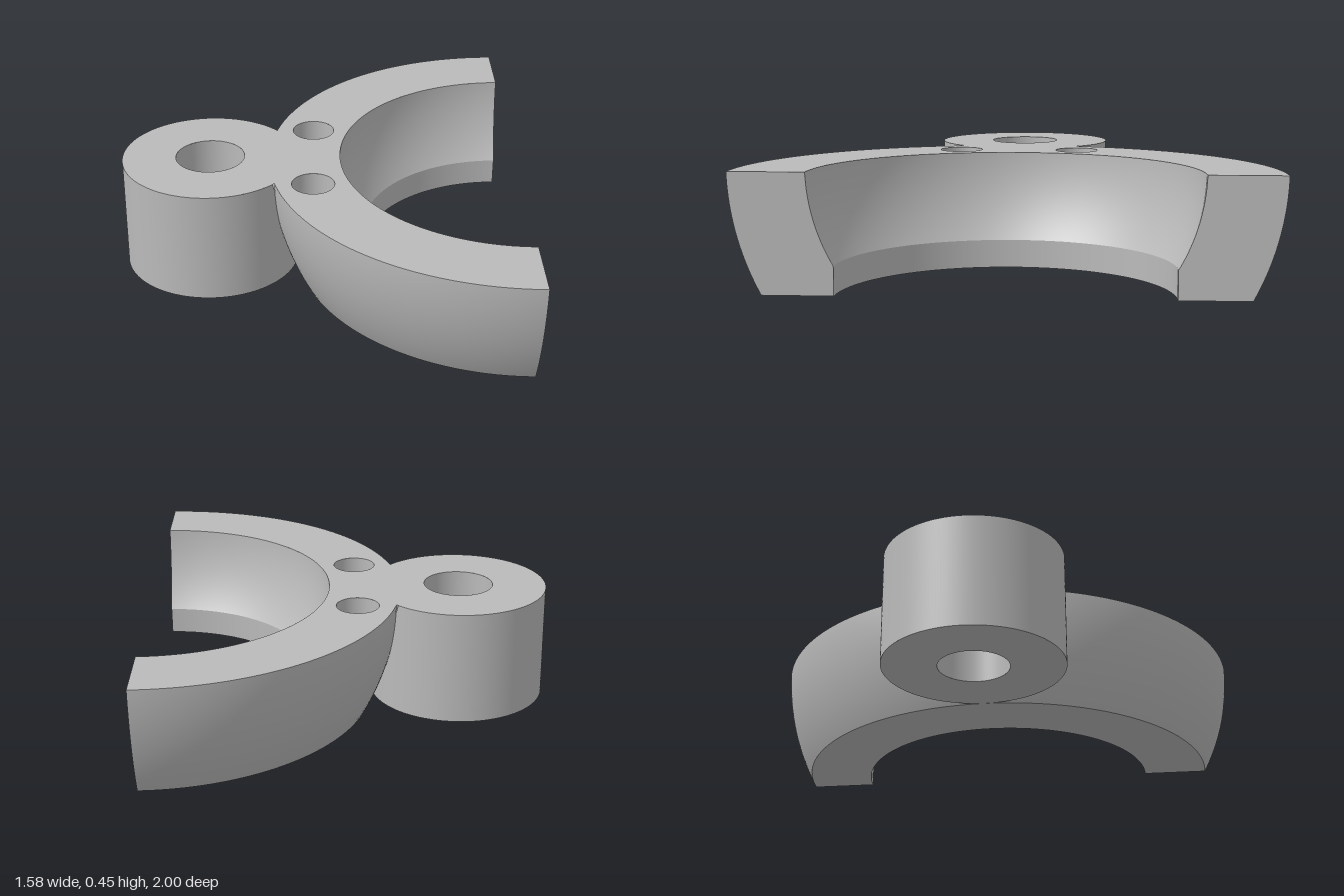
import * as THREE from 'three';
import { ParametricGeometry } from 'three/addons/geometries/ParametricGeometry.js';

const TOP = 0.45, CUT = 0.788;                 // height, x of the flat cut
const CX = 0.8, SY = 0.47;                     // centre of the spherical ring
const OUT2 = 1.0004, IN2 = 0.5114;             // squared sphere radii
const LIP = 0.11, BORE = 0.618;                // straight lip inside the ring
const HX = -0.436, HR = 0.352, HOLE = 0.138;   // hub
const PX = -0.022, PZ = 0.235, PR = 0.084, PIN_FLOOR = 0.25; // pin holes

const { PI, sqrt, acos, sin, cos, min, max } = Math;
const lerp = THREE.MathUtils.lerp;
const sphereR = (r2, y) => sqrt(r2 - (y - SY) ** 2);
const cutAngle = r => acos((CX - CUT) / r);
// angle at which a ring circle of radius r meets the hub
const D = CX - HX;
const hubAngle = r => acos(min(1, (D * D + r * r - HR * HR) / (2 * D * r)));

export function createModel() {
  const model = new THREE.Group();
  const grey = new THREE.MeshStandardMaterial({ color: 0xbababa, side: THREE.DoubleSide });
  const add = (name, geometry) => {
    const mesh = new THREE.Mesh(geometry, grey);
    mesh.name = name;
    model.add(mesh);
    return mesh;
  };

  // Ring wall between heights y0 and y1, swept between two angles that depend on radius
  const ringWall = (radius, y0, y1, from, to, nu, nv) =>
    new ParametricGeometry((u, v, p) => {
      const y = lerp(y0, y1, v), r = radius(y), a = lerp(from(r), to(r), u);
      p.set(CX - r * cos(a), y, r * sin(a));
    }, nu, nv);

  // Upright round wall; dir 1 faces outward, -1 faces inward
  const roundWall = (x, z, r, y0, topAt, dir, nu) =>
    new ParametricGeometry((u, v, p) => {
      const a = u * 2 * PI, px = x + r * cos(a), pz = z - dir * r * sin(a);
      p.set(px, lerp(y0, topAt(px, pz), v), pz);
    }, nu, 1);

  const circleHole = (x, y, r) => new THREE.Path().absarc(x, y, r, 0, 2 * PI, true);
  const flat = (shape, y, up) => new THREE.ShapeGeometry(shape, 72)
    .rotateX(up ? -PI / 2 : PI / 2).translate(0, y, 0);

  // Curved ring walls
  const outer = y => sphereR(OUT2, y), inner = y => sphereR(IN2, y);
  const negCut = r => -cutAngle(r);
  add('ringOuterFront', ringWall(outer, 0, TOP, hubAngle, cutAngle, 64, 20));
  add('ringOuterBack', ringWall(outer, 0, TOP, negCut, r => -hubAngle(r), 64, 20));
  add('ringInnerSeat', ringWall(inner, TOP, LIP, negCut, cutAngle, 96, 16));
  add('ringInnerLip', ringWall(() => BORE, LIP, 0, negCut, cutAngle, 96, 1));

  // Hub wall stops where it runs into the ring
  const hubTop = (x, z) => {
    const rho2 = (x - CX) ** 2 + z * z;
    return rho2 >= OUT2 ? TOP : max(0, min(TOP, SY - sqrt(OUT2 - rho2)));
  };
  add('hubWall', roundWall(HX, 0, HR, 0, hubTop, 1, 192));
  add('hubBore', roundWall(HX, 0, HOLE, 0, () => TOP, -1, 64));

  // Top face: joined outline of ring and hub
  const rO = outer(TOP), rI = inner(TOP), t = hubAngle(rO);
  const h = Math.atan2(rO * sin(t), CX - rO * cos(t) - HX);
  const top = new THREE.Shape();
  top.absarc(CX, 0, rO, PI - cutAngle(rO), PI - t, false);
  top.absarc(HX, 0, HR, h, 2 * PI - h, false);
  top.absarc(CX, 0, rO, PI + t, PI + cutAngle(rO), false);
  top.absarc(CX, 0, rI, PI + cutAngle(rI), PI - cutAngle(rI), true);
  top.holes.push(circleHole(HX, 0, HOLE), circleHole(PX, PZ, PR), circleHole(PX, -PZ, PR));
  add('topFace', flat(top, TOP, true));

  // Bottom faces
  const rB = outer(0);
  const ringBase = new THREE.Shape();
  ringBase.absarc(CX, 0, rB, PI - cutAngle(rB), PI + cutAngle(rB), false);
  ringBase.absarc(CX, 0, BORE, PI + cutAngle(BORE), PI - cutAngle(BORE), true);
  add('ringBottom', flat(ringBase, 0, false));
  const hubBase = new THREE.Shape().absarc(HX, 0, HR, 0, 2 * PI, false);
  hubBase.holes.push(circleHole(HX, 0, HOLE));
  add('hubBottom', flat(hubBase, 0, false));

  for (const s of [-1, 1]) {
    // Flat end of the ring
    const pts = [];
    const put = (r, y) => pts.push(new THREE.Vector2(s * sqrt(r * r - (CX - CUT) ** 2), y));
    for (let i = 0; i <= 20; i++) put(outer(TOP * i / 20), TOP * i / 20);
    for (let i = 0; i <= 16; i++) {
      const y = lerp(TOP, LIP, i / 16);
      put(inner(y), y);
    }
    put(BORE, 0);
    add('ringEnd', new THREE.ShapeGeometry(new THREE.Shape(pts)).rotateY(PI / 2).translate(CUT, 0, 0));

    // Blind pin hole
    add('pinHoleWall', roundWall(PX, s * PZ, PR, PIN_FLOOR, () => TOP, -1, 48));
    add('pinHoleFloor', new THREE.CircleGeometry(PR, 48).rotateX(-PI / 2).translate(PX, PIN_FLOOR, s * PZ));
  }
  return model;
}
